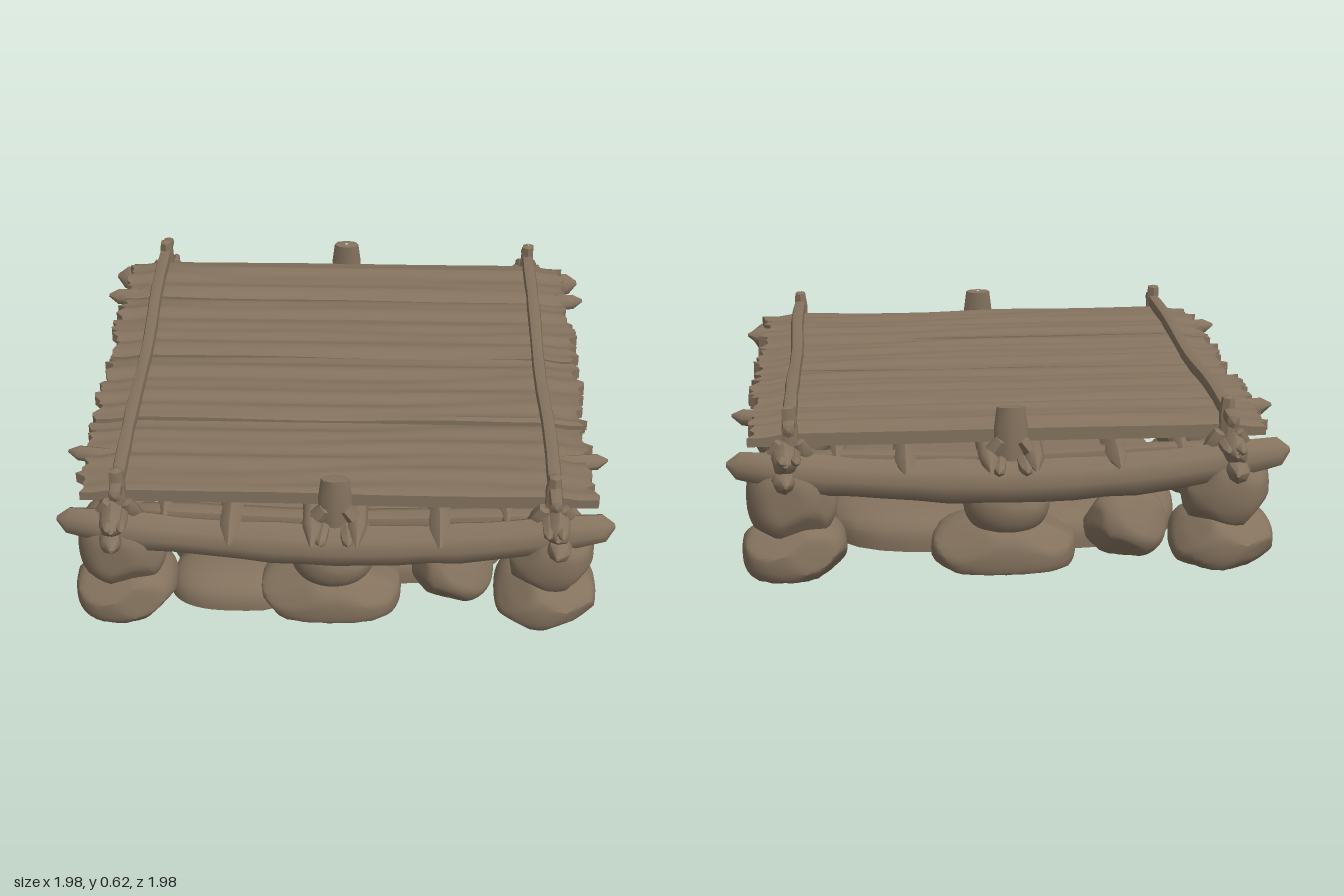
import * as THREE from 'three';
import { mergeVertices, toCreasedNormals } from 'three/addons/utils/BufferGeometryUtils.js';

const wood = new THREE.MeshStandardMaterial({ color: 0x84725e });
wood.name = 'weathered brown';

// Small seeded random generator
function seeded(seed) {
  let s = Math.round(seed * 7919) + 17;
  return () => {
    s = (s * 16807 + 11) % 2147483647;
    return s / 2147483647;
  };
}

function part(parent, name, geometry) {
  const mesh = new THREE.Mesh(geometry, wood);
  mesh.name = name;
  parent.add(mesh);
}

// Boulder: rounded block, sliced by random planes, flat where it meets the ground
function stone(parent, name, [x, y, z], [rx, ry, rz], seed, { cut = 0.88, block = 2.7 } = {}) {
  const rnd = seeded(seed);
  for (let i = 0; i < 5; i++) rnd();
  const planes = [];
  for (let i = 0; i < 11; i++) {
    const n = new THREE.Vector3(rnd() - 0.5, (rnd() - 0.5) * 0.9, rnd() - 0.5).normalize();
    planes.push([n, cut + rnd() * 0.14]);
  }
  let g = new THREE.IcosahedronGeometry(1, 8);
  g.deleteAttribute('uv');
  g.deleteAttribute('normal');
  g = mergeVertices(g);
  const p = g.attributes.position;
  const v = new THREE.Vector3();
  for (let i = 0; i < p.count; i++) {
    v.fromBufferAttribute(p, i);
    const sum = Math.abs(v.x) ** block + Math.abs(v.y) ** block + Math.abs(v.z) ** block;
    v.multiplyScalar(sum ** (-1 / block));
    for (const [n, d] of planes) {
      const over = v.dot(n) - d;
      if (over > 0) v.addScaledVector(n, -over * 0.9);
    }
    p.setXYZ(i, x + v.x * rx, Math.max(0, y + v.y * ry), z + v.z * rz);
  }
  part(parent, name, toCreasedNormals(g, 0.6));
}

// Log or stick: a knobbly tube through the points, closed at both ends
function log(parent, name, points, radius, seed, { tip = 0.02, depth = 1, sides = 8, seg = 18, rough = 0.14, belly = 0 } = {}) {
  const rnd = seeded(seed);
  const curve = new THREE.CatmullRomCurve3(points.map((q) => new THREE.Vector3(...q)));
  const g = new THREE.TubeGeometry(curve, seg, radius, sides, false);
  g.deleteAttribute('uv');
  g.deleteAttribute('normal');
  const p = g.attributes.position;
  const v = new THREE.Vector3();
  const ridge = Array.from({ length: sides }, () => 1 + (rnd() - 0.5) * rough * 1.5);
  for (let i = 0; i <= seg; i++) {
    const end = Math.min(i, seg - i);
    let u = i / seg;
    if (end === 1) u = i === 1 ? tip : 1 - tip;
    const from = curve.getPointAt(i / seg);
    const to = curve.getPointAt(u);
    const thick = 1 + belly * Math.sin(Math.PI * u);
    const swell = end === 0 ? 0.15 : (end === 1 ? 0.85 : thick) * (1 + (rnd() - 0.5) * rough);
    for (let j = 0; j <= sides; j++) {
      const k = i * (sides + 1) + j;
      v.fromBufferAttribute(p, k).sub(from).multiplyScalar(swell * ridge[j % sides]);
      v.z *= depth;
      v.add(to);
      p.setXYZ(k, v.x, v.y, v.z);
    }
  }
  part(parent, name, toCreasedNormals(mergeVertices(g, 1e-5), 0.95));
}

// Deck plank: fluted along the grain, with torn ends
function plank(parent, z0, z1, seed) {
  const rnd = seeded(seed);
  const nz = Math.round((z1 - z0) / 0.018);
  const jag = Array.from({ length: nz + 1 }, () => rnd());
  let g = new THREE.BoxGeometry(1, 1, 1, 24, 1, nz);
  g.deleteAttribute('uv');
  g.deleteAttribute('normal');
  g = mergeVertices(g);
  const p = g.attributes.position;
  for (let i = 0; i < p.count; i++) {
    const t = p.getZ(i) + 0.5;
    const k = Math.round(t * nz);
    const side = p.getX(i) * 2;
    const z = z0 + t * (z1 - z0);
    const torn = Math.abs(side) > 0.99 ? jag[side > 0 ? k : nz - k] * 0.05 : 0;
    const x = side * 0.94 - Math.sign(side) * torn;
    const round = 0.01 * Math.abs(2 * t - 1) ** 8;
    const bend = 0.8 * Math.sin(x * 2.3 + seed) + 0.5 * Math.sin(x * 5 + z * 4);
    const flute = 0.005 * Math.sin(z * 41 + bend) + 0.004 * Math.sin(z * 73 - bend * 1.5) + (jag[k] - 0.5) * 0.005;
    const droop = Math.abs(side) > 0.85 ? 0.014 : 0;
    const top = p.getY(i) > 0;
    p.setXYZ(i, x, top ? 0.528 + flute - round - droop : 0.468 + flute + jag[k] * 0.008, z);
  }
  part(parent, 'deckPlank', toCreasedNormals(g, 0.7));
}

// One half of the supports and frame; the other half is the same turned about y
function buildHalf() {
  const half = new THREE.Group();
  half.name = 'frameHalf';

  // Corner piers of two stacked stones
  for (const s of [-1, 1]) {
    stone(half, 'cornerBaseStone', [s * 0.765, 0.08, 0.785], [0.185, 0.12, 0.17], 3 + s);
    stone(half, 'cornerTopStone', [s * 0.77, 0.28, 0.785], [0.16, 0.17, 0.15], 8 + s, { block: 2.4 });
  }
  // Front pier
  stone(half, 'frontBaseStone', [-0.02, 0.055, 0.75], [0.26, 0.12, 0.17], 21);
  stone(half, 'frontTopStone', [-0.01, 0.235, 0.78], [0.155, 0.13, 0.13], 24, { block: 2.1 });
  // Side pier
  stone(half, 'sideBaseStone', [0.79, 0.08, 0], [0.155, 0.12, 0.18], 31);
  stone(half, 'sideTopStone', [0.79, 0.27, 0], [0.15, 0.125, 0.18], 34);
  // Loose boulder
  stone(half, 'looseBoulder', [0.43, 0.11, 0.7], [0.15, 0.13, 0.13], 41, { cut: 0.82, block: 2.4 });

  // Bowed front beam with upturned ends
  log(half, 'frontBeam', [[-0.99, 0.42, 0.85], [-0.7, 0.375, 0.85], [-0.3, 0.345, 0.86],
    [0.1, 0.335, 0.865], [0.5, 0.355, 0.86], [0.8, 0.39, 0.85], [0.99, 0.425, 0.85]],
  0.057, 51, { tip: 0.02, belly: 0.38 });
  log(half, 'frontTie', [[-0.75, 0.41, 0.79], [0, 0.39, 0.8], [0.75, 0.41, 0.79]], 0.045, 53);
  // Side beams resting on the piers
  log(half, 'sideBeam', [[0.78, 0.38, 0.99], [0.82, 0.37, 0.7], [0.82, 0.345, 0.4], [0.83, 0.37, 0],
    [0.82, 0.345, -0.4], [0.82, 0.37, -0.7], [0.78, 0.38, -0.99]], 0.045, 55);
  log(half, 'upperSideBeam', [[0.78, 0.445, 0.97], [0.82, 0.43, 0.4], [0.84, 0.43, 0],
    [0.82, 0.435, -0.5], [0.78, 0.45, -0.97]], 0.053, 57);
  log(half, 'sideStub', [[0.55, 0.37, 0], [0.95, 0.375, 0]], 0.05, 58, { tip: 0.05, seg: 8 });

  // Joists running front to back
  for (const x of [0.08, 0.37, 0.61]) {
    const reach = x > 0.6 ? 0.87 : 0.985;
    log(half, 'joist', [[x, 0.415, reach], [x, 0.43, 0.8], [x - 0.015, 0.43, 0],
      [x, 0.43, -0.8], [x, 0.415, -reach]], 0.036, 60 + x * 10, { tip: 0.05 });
  }
  // Cross bearer with tips past the deck
  log(half, 'crossBearer', [[-0.985, 0.505, 0.56], [-0.85, 0.485, 0.57], [0, 0.47, 0.57],
    [0.85, 0.485, 0.57], [0.985, 0.5, 0.56]], 0.036, 71, { tip: 0.02 });

  // Rail along the deck edge
  log(half, 'sideRail', [[0.77, 0.555, 0.93], [0.775, 0.56, 0.5], [0.765, 0.55, 0.1],
    [0.77, 0.56, -0.4], [0.77, 0.55, -0.9]], 0.028, 81, { tip: 0.005 });
  // Corner posts and the splayed sticks lashed to them
  for (const s of [-1, 1]) {
    log(half, 'cornerPost', [[s * 0.76, 0.36, 0.83], [s * 0.77, 0.62, 0.82]], 0.03, 84 + s, { tip: 0.03, seg: 8, sides: 6 });
    for (const d of [-1, 1]) {
      log(half, 'lashingStick', [[s * (0.77 + d * 0.08), 0.4, 0.83], [s * (0.77 + d * 0.03), 0.5, 0.85]],
        0.026, 88 + d, { tip: 0.05, seg: 6, sides: 6 });
      log(half, 'cornerSpike', [[s * (0.77 + d * 0.015), 0.45, 0.75], [s * (0.77 + d * 0.025), 0.46, 0.98]],
        0.022, 92 + d, { tip: 0.1, seg: 6, sides: 6 });
    }
    log(half, 'frontBrace', [[s * 0.12, 0.37, 0.85], [s * 0.03, 0.49, 0.85]], 0.03, 95 + s, { tip: 0.05, seg: 6, sides: 6 });
    log(half, 'frontSpike', [[s * 0.03, 0.42, 0.8], [s * 0.05, 0.4, 0.96]], 0.025, 98 + s, { tip: 0.1, seg: 6, sides: 6 });
  }
  // Flat middle post
  log(half, 'middlePost', [[0, 0.28, 0.85], [0, 0.605, 0.835]], 0.06, 101, { tip: 0.01, seg: 8, depth: 0.5 });
  return half;
}

export function createModel() {
  const model = new THREE.Group();
  model.name = 'platform';

  const front = buildHalf();
  const back = buildHalf();
  back.rotation.y = Math.PI;
  model.add(front, back);

  // Low rocky mound underneath, with a spur towards the front
  stone(model, 'mound', [0, 0, 0], [0.68, 0.155, 0.68], 111, { cut: 1.18, block: 4.2 });
  stone(model, 'moundSpur', [-0.36, 0, 0.66], [0.26, 0.12, 0.19], 113);

  // Deck
  const spans = [[-0.82, -0.521], [-0.519, -0.075], [-0.068, 0.36], [0.38, 0.815]];
  spans.forEach(([z0, z1], i) => plank(model, z0, z1, 120 + i));
  return model;
}
